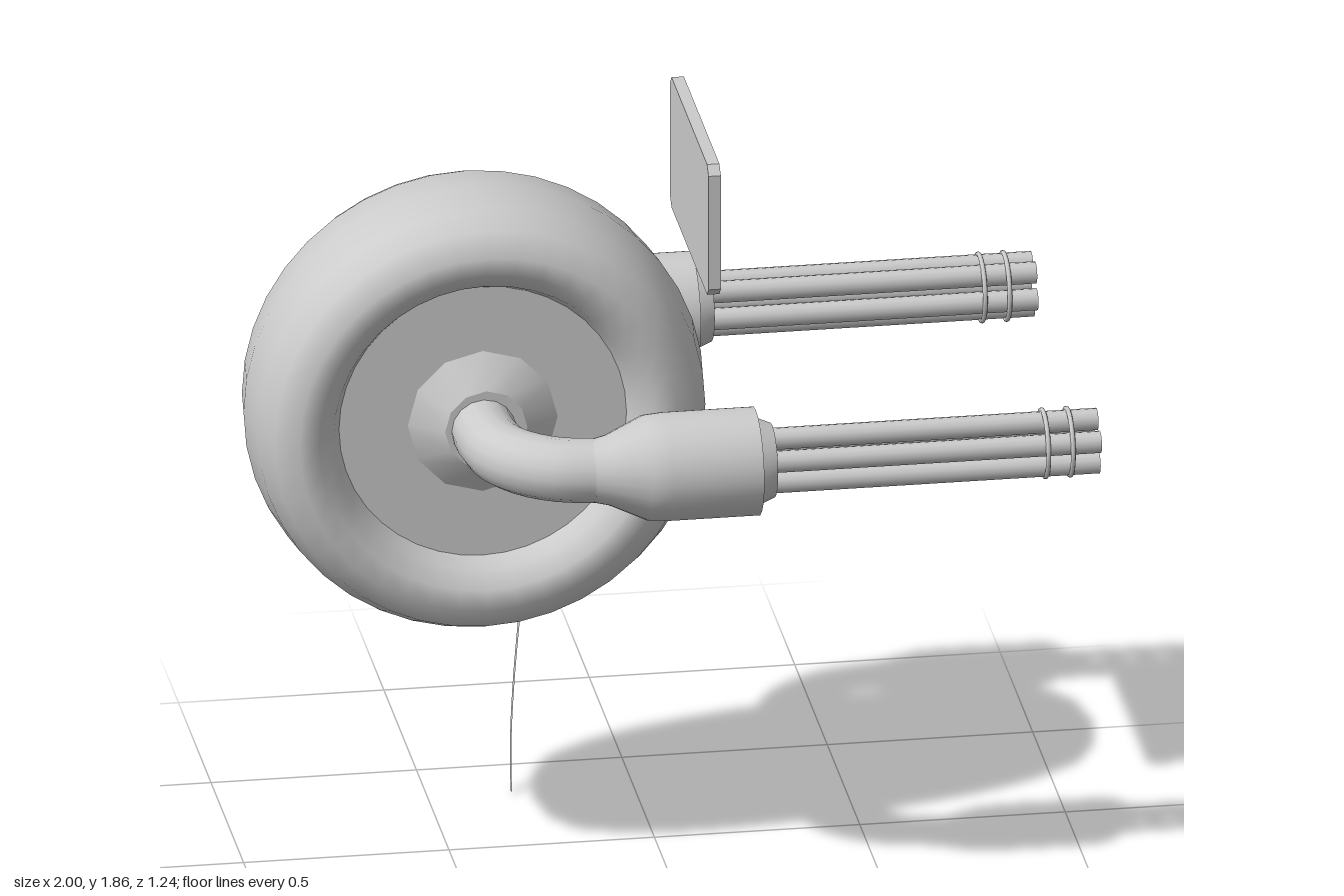
import * as THREE from 'three';
import { toCreasedNormals } from 'three/addons/utils/BufferGeometryUtils.js';

const grey = new THREE.MeshStandardMaterial({ color: 0xcccccc });
const thin = new THREE.MeshStandardMaterial({ color: 0xcccccc, side: THREE.DoubleSide });
const AXIS_Y = 1.18;
const WHEEL_X = -0.44;

function add(parent, name, geometry, material = grey) {
  const mesh = new THREE.Mesh(geometry, material);
  mesh.name = name;
  parent.add(mesh);
  return mesh;
}

function lathe(points, segments) {
  return new THREE.LatheGeometry(points.map(([r, y]) => new THREE.Vector2(r, y)), segments);
}

// Fat tyre with recessed rim discs and faceted hub caps
function createWheel() {
  const wheel = new THREE.Group();
  wheel.name = 'wheel';
  const half = [[0.56, 0], [0.545, 0.12], [0.515, 0.19], [0.46, 0.23], [0.41, 0.22], [0.37, 0.185], [0.35, 0.14]];
  const profile = [...half.slice(1).reverse().map(([r, z]) => [r, -z]), ...half];
  add(wheel, 'tyre', lathe(profile, 40).rotateX(Math.PI / 2));
  add(wheel, 'rim', new THREE.CylinderGeometry(0.355, 0.355, 0.28, 40).rotateX(Math.PI / 2));
  for (const s of [1, -1]) {
    const cap = toCreasedNormals(new THREE.CylinderGeometry(0.1, 0.19, 0.06, 12), 0.6);
    const hub = add(wheel, 'hubCap', cap.rotateX(s * Math.PI / 2));
    hub.position.z = s * 0.165;
  }
  wheel.position.set(WHEEL_X, AXIS_Y, 0);
  return wheel;
}

// Curved arm, flared housing and a cluster of five barrels
function createGun() {
  const gun = new THREE.Group();
  gun.name = 'gun';
  const z = 0.487;
  const path = new THREE.CatmullRomCurve3([
    [-0.445, 0.14], [-0.445, 0.25], [-0.425, 0.35], [-0.375, 0.42], [-0.3, 0.468], [-0.2, z],
  ].map(([x, pz]) => new THREE.Vector3(x, 0, pz)));
  add(gun, 'arm', new THREE.TubeGeometry(path, 14, 0.078, 16));

  const profile = [[0.076, -0.23], [0.086, -0.19], [0.128, -0.1], [0.132, -0.05], [0.132, 0.17],
    [0.107, 0.17], [0.09, 0.21], [0, 0.21]];
  const housing = toCreasedNormals(lathe(profile, 24), 0.5).rotateZ(-Math.PI / 2);
  add(gun, 'housing', housing).position.z = z;

  for (let i = 0; i < 5; i++) {
    const a = Math.PI / 2 + (i * Math.PI * 2) / 5;
    const barrel = add(gun, 'barrel', new THREE.CylinderGeometry(0.027, 0.027, 0.82, 12).rotateZ(Math.PI / 2));
    barrel.position.set(0.59, Math.sin(a) * 0.055, z + Math.cos(a) * 0.055);
  }
  for (const x of [0.87, 0.93]) {
    const band = add(gun, 'barrelBand', new THREE.TorusGeometry(0.081, 0.006, 8, 24).rotateY(Math.PI / 2));
    band.position.set(x, 0, z);
  }
  gun.position.y = AXIS_Y;
  return gun;
}

// Rectangle with cut corners
function cutRectangle(shape, w, h, c) {
  const pts = [[w - c, -h], [w, c - h], [w, h - c], [w - c, h], [c - w, h], [-w, h - c], [-w, c - h], [c - w, -h]];
  return shape.setFromPoints([...pts, pts[0]].map(([x, y]) => new THREE.Vector2(x, y)));
}

// Shallow tray-like screen facing +x
function createScreen() {
  const screen = new THREE.Group();
  screen.name = 'screen';
  const frame = cutRectangle(new THREE.Shape(), 0.295, 0.17, 0.022);
  frame.holes.push(cutRectangle(new THREE.Path(), 0.272, 0.147, 0.012));
  add(screen, 'screenFrame', new THREE.ExtrudeGeometry(frame, { depth: 0.03, bevelEnabled: false }));
  const panel = cutRectangle(new THREE.Shape(), 0.293, 0.168, 0.022);
  add(screen, 'screenPanel', new THREE.ExtrudeGeometry(panel, { depth: 0.01, bevelEnabled: false }));
  screen.rotation.y = Math.PI / 2;
  screen.position.set(0.085, 1.7, 0);
  return screen;
}

// Flat strap hanging down, its width lying in the yz plane
function createStrapGeometry() {
  const curve = new THREE.CatmullRomCurve3([
    [-0.11, 1.2, -0.243], [-0.16, 1.1, -0.262], [-0.21, 0.95, -0.305], [-0.245, 0.7, -0.367],
    [-0.265, 0.45, -0.395], [-0.283, 0.25, -0.385], [-0.293, 0.11, -0.36], [-0.297, 0.01, -0.325],
  ].map((p) => new THREE.Vector3(...p)));
  const steps = 28;
  const positions = [];
  const index = [];
  for (let i = 0; i <= steps; i++) {
    const p = curve.getPoint(i / steps);
    const t = curve.getTangent(i / steps);
    const side = new THREE.Vector3(0, -t.z, t.y).setLength(0.012);
    for (const s of [1, -1]) positions.push(p.x, Math.max(0, p.y + s * side.y), p.z + s * side.z);
    if (i < steps) {
      const a = i * 2;
      index.push(a, a + 1, a + 2, a + 1, a + 3, a + 2);
    }
  }
  const geometry = new THREE.BufferGeometry();
  geometry.setAttribute('position', new THREE.Float32BufferAttribute(positions, 3));
  geometry.setIndex(index);
  geometry.computeVertexNormals();
  return geometry;
}

export function createModel() {
  const model = new THREE.Group();
  model.name = 'gunWheel';
  model.add(createWheel());
  // The second gun is the first turned half a circle about the x axis
  const leftGun = createGun();
  const rightGun = createGun();
  rightGun.rotation.x = Math.PI;
  model.add(leftGun, rightGun, createScreen());
  add(model, 'hangingStrap', createStrapGeometry(), thin);
  return model;
}
